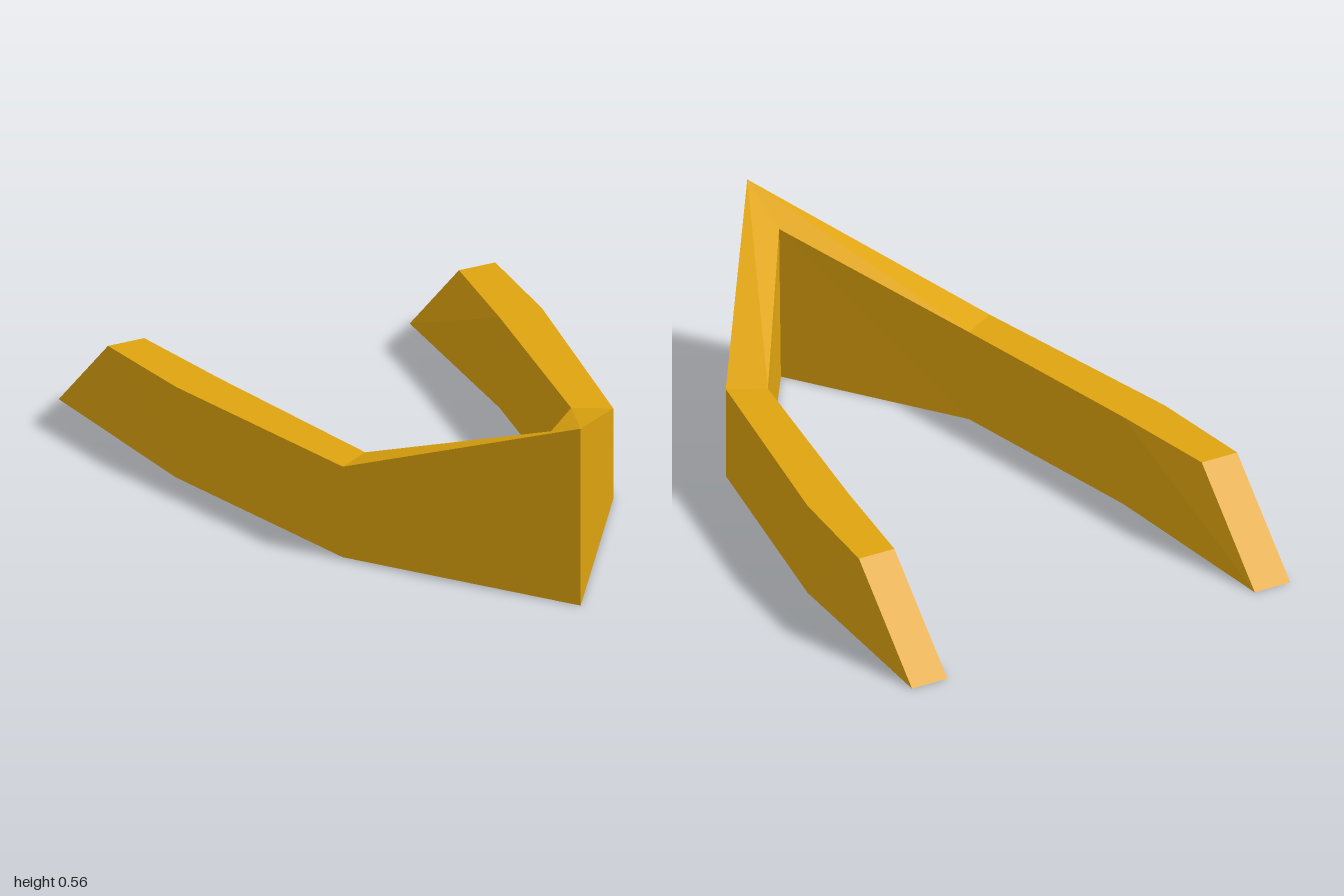
import * as THREE from 'three';

const gold = new THREE.MeshStandardMaterial({ color: 0xdfa40f });
gold.name = 'gold';

// Cross-sections from the pointed front to the sloped rear end:
// outer bottom, outer top, inner top, inner bottom
const sections = [
  [[0, 0, 1], [0, 0.555, 1], [0, 0.477, 0.82], [0, 0, 0.81]],
  [[0.44, 0, 0.375], [0.44, 0.284, 0.375], [0.335, 0.284, 0.315], [0.335, 0, 0.315]],
  [[0.595, 0, -0.35], [0.595, 0.284, -0.35], [0.457, 0.284, -0.35], [0.457, 0, -0.35]],
  [[0.63, 0, -1], [0.63, 0.284, -0.7], [0.512, 0.284, -0.7], [0.512, 0, -1]],
];

// One swept wall; side is +1 for left, -1 for the mirrored right
function makeWall(side) {
  const positions = [];
  const quad = (a, b, c, d) => {
    const corners = side > 0 ? [a, b, c, a, c, d] : [a, c, b, a, d, c];
    for (const [x, y, z] of corners) positions.push(side * x, y, z);
  };
  for (let s = 0; s < sections.length - 1; s++) {
    const near = sections[s], far = sections[s + 1];
    for (let k = 0; k < 4; k++) {
      const n = (k + 1) % 4;
      quad(near[k], far[k], far[n], near[n]);
    }
  }
  // Sloped rear end
  const [ob, ot, it, ib] = sections[sections.length - 1];
  quad(ob, ib, it, ot);

  const geometry = new THREE.BufferGeometry();
  geometry.setAttribute('position', new THREE.Float32BufferAttribute(positions, 3));
  geometry.computeVertexNormals();
  const mesh = new THREE.Mesh(geometry, gold);
  mesh.name = side > 0 ? 'leftWall' : 'rightWall';
  return mesh;
}

export function createModel() {
  const group = new THREE.Group();
  group.name = 'pointedWedgeFrame';
  group.add(makeWall(1), makeWall(-1));
  return group;
}
